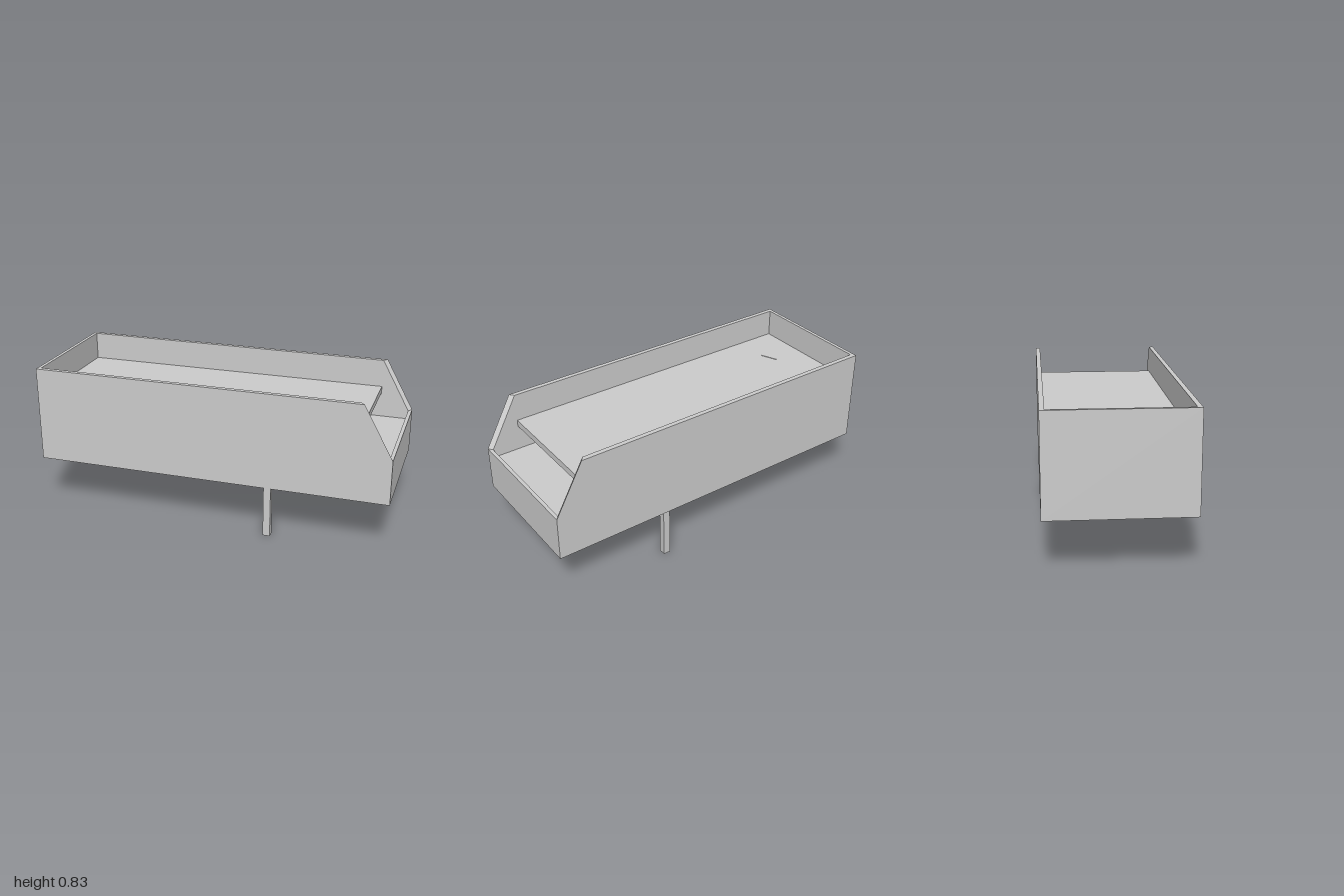
import * as THREE from 'three';

const TOP = 0.83, BOTTOM = 0.29, LOW = 0.54;
const OUT_Z = 0.384, IN_Z = 0.358, IN_X = 0.98;

export function createModel() {
  const group = new THREE.Group();
  const material = new THREE.MeshStandardMaterial({ color: 0xcccccc, flatShading: true });

  const add = (name, geometry, x = 0, y = 0, z = 0) => {
    const mesh = new THREE.Mesh(geometry, material);
    mesh.name = name;
    mesh.position.set(x, y, z);
    group.add(mesh);
    return mesh;
  };
  const box = (name, x0, x1, y0, y1, z0, z1) =>
    add(name, new THREE.BoxGeometry(x1 - x0, y1 - y0, z1 - z0),
      (x0 + x1) / 2, (y0 + y1) / 2, (z0 + z1) / 2);

  // Long side walls with a sloped end; the inner face is shortened to mitre the corners
  const profile = new THREE.Shape([[-1, BOTTOM], [1, BOTTOM], [1, LOW], [0.84, TOP], [-1, TOP]]
    .map(([x, y]) => new THREE.Vector2(x, y)));
  for (const side of [1, -1]) {
    const wall = new THREE.ExtrudeGeometry(profile, { depth: OUT_Z - IN_Z, bevelEnabled: false });
    const p = wall.attributes.position;
    for (let i = 0; i < p.count; i++) {
      const inner = side > 0 ? p.getZ(i) < 0.01 : p.getZ(i) > 0.01;
      if (inner) p.setX(i, p.getX(i) - Math.sign(p.getX(i)) * (1 - IN_X));
    }
    wall.computeVertexNormals();
    add(side > 0 ? 'frontWall' : 'backWall', wall, 0, 0, side > 0 ? IN_Z : -OUT_Z);
  }

  // Mitred end walls: tall at -x, low at +x
  for (const [name, side, top] of [['lowEndWall', 1, LOW], ['tallEndWall', -1, TOP]]) {
    const wall = new THREE.BoxGeometry(1 - IN_X, top - BOTTOM, OUT_Z * 2);
    const p = wall.attributes.position;
    for (let i = 0; i < p.count; i++) {
      if (p.getX(i) * side < 0) p.setZ(i, Math.sign(p.getZ(i)) * IN_Z);
    }
    wall.computeVertexNormals();
    add(name, wall, side * (1 + IN_X) / 2, (top + BOTTOM) / 2, 0);
  }

  // Solid base and the raised shelf above it
  box('base', -IN_X, IN_X, BOTTOM, 0.49, -IN_Z, IN_Z);
  box('shelf', -IN_X, 0.82, 0.634, 0.672, -IN_Z, IN_Z);

  // Small thin wedge lying on the shelf
  const wedge = new THREE.Shape([[-0.79, -0.06], [-0.81, -0.1], [-0.80, -0.14], [-0.75, -0.155]]
    .map(([x, y]) => new THREE.Vector2(x, y)));
  add('wedge', new THREE.ExtrudeGeometry(wedge, { depth: 0.005, bevelEnabled: false }), 0, 0.67, 0)
    .rotation.x = -Math.PI / 2;

  // Pair of legs
  for (const side of [1, -1]) {
    add(side > 0 ? 'frontLeg' : 'backLeg', new THREE.BoxGeometry(0.04, BOTTOM, 0.038),
      0.34, BOTTOM / 2, side * 0.359);
  }
  return group;
}
